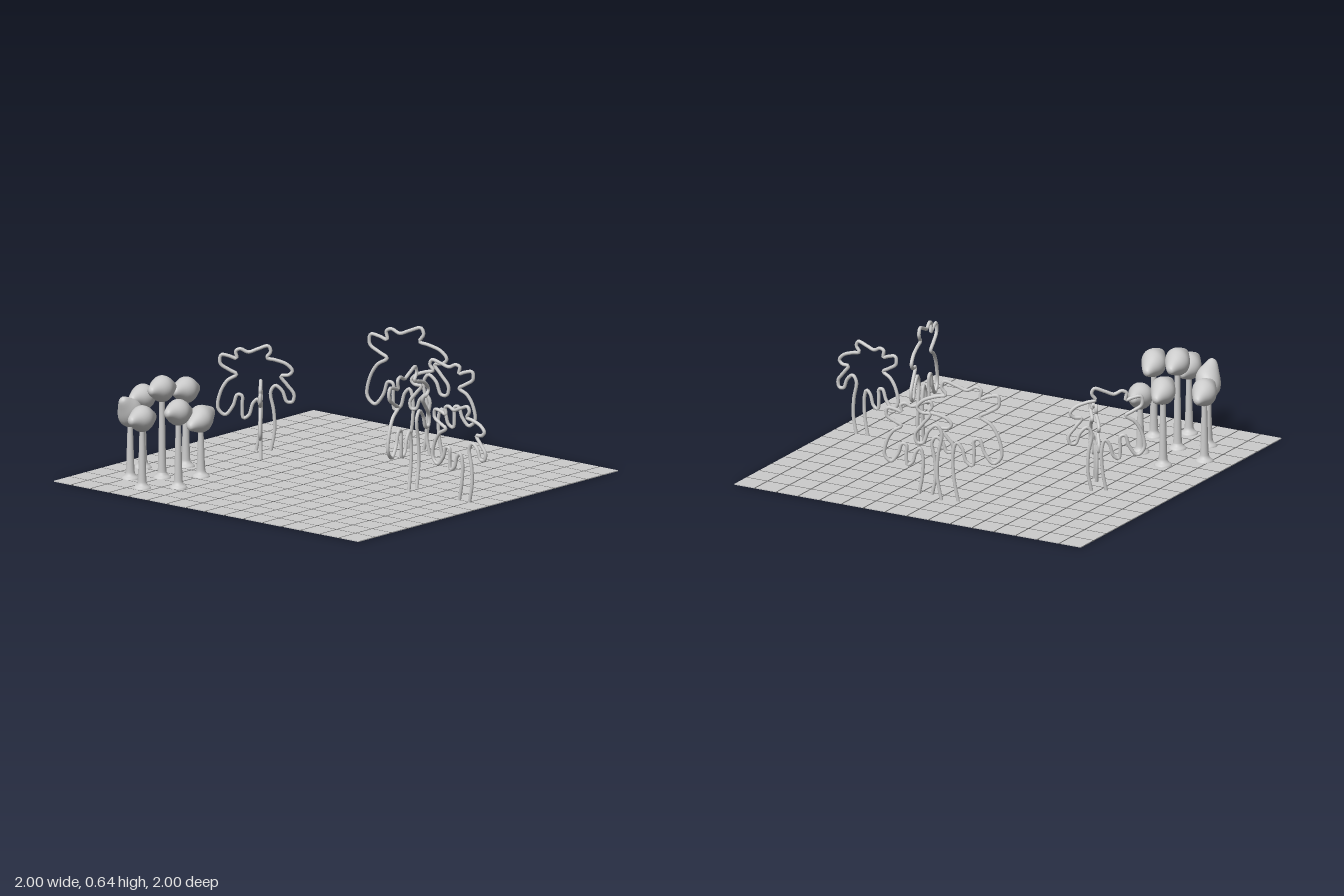
import * as THREE from 'three';

const grey = new THREE.MeshStandardMaterial({ color: 0xcccccc, side: THREE.DoubleSide });
const dark = new THREE.MeshStandardMaterial({ color: 0x666666 });

function add(parent, name, geometry, material = grey) {
  const mesh = new THREE.Mesh(geometry, material);
  mesh.name = name;
  parent.add(mesh);
  return mesh;
}

// Paving: 16 x 16 thin tiles with dark joints between them
function createPaving() {
  const paving = new THREE.Group();
  paving.name = 'paving';
  const n = 16, step = 2 / n, gap = 0.008, h = 0.005;
  const tile = new THREE.BoxGeometry(step - gap, h, step - gap);
  for (let i = 0; i < n; i++) {
    for (let j = 0; j < n; j++) {
      add(paving, 'tile', tile).position.set(-1 + (i + 0.5) * step, h / 2, -1 + (j + 0.5) * step);
    }
  }
  for (let i = 1; i < n; i++) {
    const p = -1 + i * step;
    add(paving, 'joint', new THREE.BoxGeometry(gap, h * 0.8, 2), dark).position.set(p, h / 2, 0);
    add(paving, 'joint', new THREE.BoxGeometry(2, h * 0.7, gap), dark).position.set(0, h / 2, p);
  }
  return paving;
}

// Palm outline as fractions of width and height, from one foot round to the other
const palmOutline = [
  [0.50, 0], [0.55, 0.2], [0.56, 0.4], [0.52, 0.49], [0.46, 0.45],
  [0.41, 0.34], [0.34, 0.31], [0.32, 0.42], [0.32, 0.52], [0.26, 0.53],
  [0.20, 0.42], [0.10, 0.34], [0.01, 0.40], [0.04, 0.55], [0.13, 0.66], [0.25, 0.72],
  [0.16, 0.76], [0.04, 0.82], [0.05, 0.90], [0.16, 0.89], [0.25, 0.87],
  [0.24, 0.94], [0.30, 0.96], [0.40, 0.93], [0.52, 0.96], [0.66, 0.99], [0.69, 0.94], [0.64, 0.88],
  [0.75, 0.86], [0.90, 0.82], [0.97, 0.76], [0.92, 0.72], [0.82, 0.71],
  [0.90, 0.63], [0.99, 0.54], [0.97, 0.47], [0.90, 0.47], [0.84, 0.57], [0.75, 0.62],
  [0.69, 0.56], [0.73, 0.38], [0.74, 0.2], [0.69, 0],
];

// One bent tube tracing a palm in the upright plane between two ground points
function createPalm([x0, z0, x1, z1]) {
  const dx = x1 - x0, dz = z1 - z0;
  const height = Math.hypot(dx, dz) * 1.41;
  const points = palmOutline.map(([f, v]) => new THREE.Vector3(x0 + dx * f, v * height, z0 + dz * f));
  return new THREE.TubeGeometry(new THREE.CatmullRomCurve3(points, false, 'centripetal'), 260, 0.009, 10);
}

function lathe(profile, segments) {
  const curve = new THREE.SplineCurve(profile.map(([r, y]) => new THREE.Vector2(r, y)));
  const pts = curve.getPoints(28).map(p => new THREE.Vector2(Math.max(p.x, 0), p.y));
  return new THREE.LatheGeometry(pts, segments);
}

// Spindle-shaped crown lying along z, sheared into a soft kite
function createCrown() {
  const g = lathe([[0, -0.127], [0.02, -0.118], [0.042, -0.075], [0.06, -0.035], [0.067, 0],
    [0.06, 0.035], [0.042, 0.075], [0.02, 0.118], [0, 0.127]], 32);
  g.rotateX(Math.PI / 2);
  const p = g.attributes.position;
  for (let i = 0; i < p.count; i++) p.setZ(i, p.getZ(i) + 0.3 * p.getX(i));
  g.computeVertexNormals();
  return g;
}

export function createModel() {
  const model = new THREE.Group();
  model.name = 'paved garden';
  model.add(createPaving());

  // Outline palms: start x, z and end x, z
  const palms = [
    [0.63, 0, 0.98, 0],
    [0.55, 0.25, 0.45, -0.19],
    [-0.32, -0.61, 0.11, -0.74],
    [0.29, -0.73, -0.04, -0.61],
    [-0.81, -0.04, -0.50, -0.27],
    [-0.42, 0.09, -0.60, -0.13],
  ];
  for (const p of palms) add(model, 'palmOutline', createPalm(p));

  // Grove of solid trees: x, z, crown height, forward pitch
  const crown = createCrown();
  const trees = [
    [-0.70, 0.33, 0.395, -0.12],
    [-0.845, 0.49, 0.365, -0.1],
    [-0.50, 0.45, 0.30, 0.15],
    [-0.63, 0.595, 0.46, -0.1],
    [-0.74, 0.71, 0.34, -0.8],
    [-0.43, 0.705, 0.39, -0.15],
    [-0.56, 0.83, 0.36, -0.1],
  ];
  for (const [x, z, y, pitch] of trees) {
    const tree = new THREE.Group();
    tree.name = 'tree';
    tree.position.set(x, 0, z);
    add(tree, 'trunk', lathe([[0.046, 0.004], [0.042, 0.012], [0.026, 0.028], [0.021, 0.06],
      [0.017, y * 0.5], [0.014, y - 0.06], [0.018, y - 0.01]], 20));
    const top = add(tree, 'crown', crown);
    top.position.y = y;
    top.rotation.set(pitch, 0.2, 0, 'YXZ');
    model.add(tree);
  }
  return model;
}
